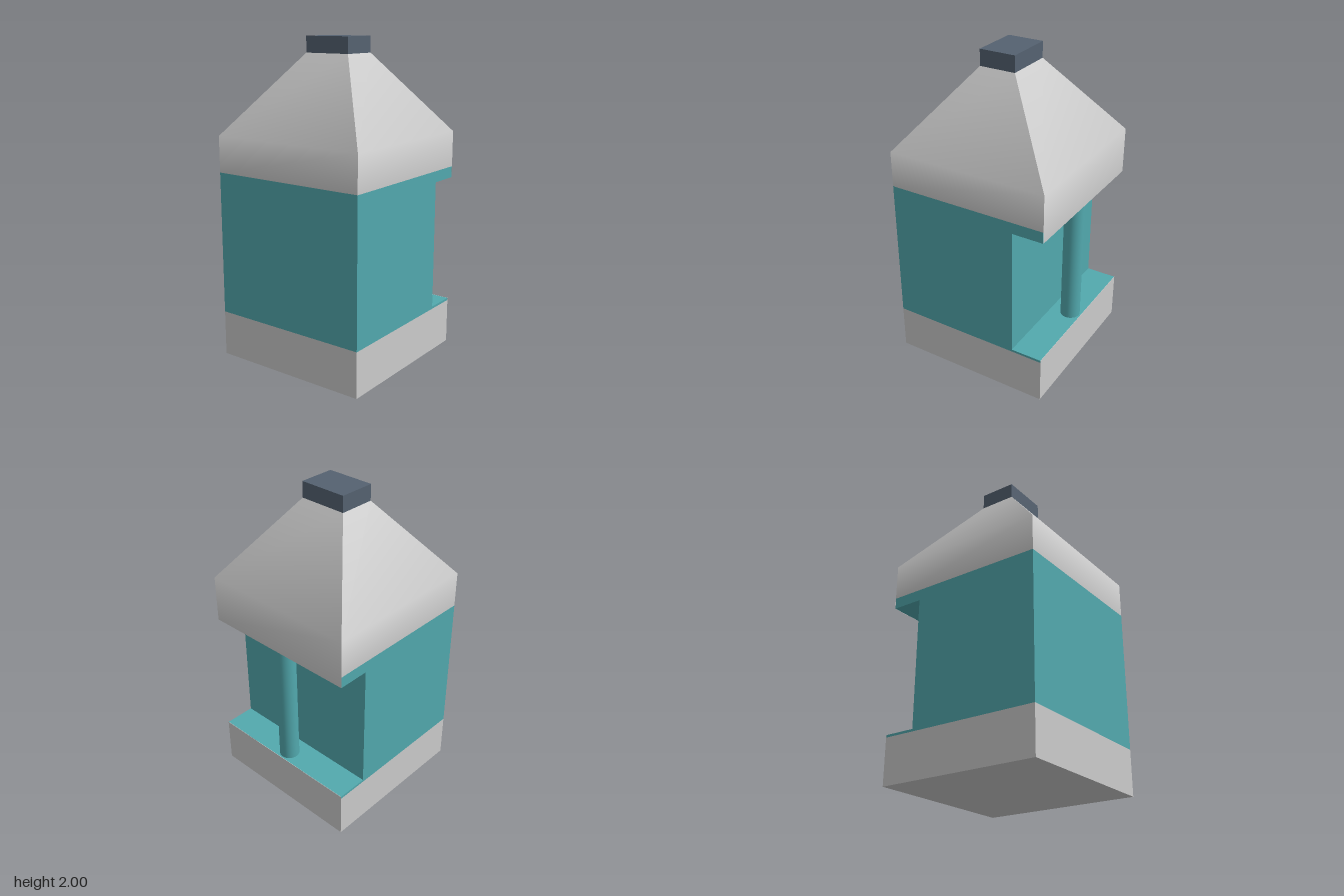
import * as THREE from 'three';

const HALF = 0.515;
const TOP = 1.185, BOTTOM = 0.285;             // limits of the coloured band on the sides
const RECESS_TOP = 1.115, RECESS_BOTTOM = 0.3; // opening at the back
const SKIN = 0.002;                            // thin grey facing on the back

const grey = new THREE.MeshStandardMaterial({ color: 0xcccccc });
const greyOpen = new THREE.MeshStandardMaterial({ color: 0xcccccc, side: THREE.DoubleSide });
const teal = new THREE.MeshStandardMaterial({ color: 0x52a9ae });
const slate = new THREE.MeshStandardMaterial({ color: 0x556271 });

function add(group, name, geometry, material, x = 0, y = 0, z = 0) {
  const mesh = new THREE.Mesh(geometry, material);
  mesh.name = name;
  mesh.position.set(x, y, z);
  group.add(mesh);
}

// One side of the shoulder: a smooth strip through three rows
function shoulderSide(left, right, lowY) {
  const rows = [[HALF, HALF, lowY], [HALF, HALF, 1.41], [0.155, 0.115, 1.9]];
  const positions = [], index = [];
  rows.forEach(([hx, hz, y], i) => {
    for (const [sx, sz] of [left, right]) positions.push(sx * hx, y, sz * hz);
    if (i < 2) {
      const a = i * 2;
      index.push(a, a + 1, a + 3, a, a + 3, a + 2);
    }
  });
  const geometry = new THREE.BufferGeometry();
  geometry.setAttribute('position', new THREE.Float32BufferAttribute(positions, 3));
  geometry.setIndex(index);
  geometry.computeVertexNormals();
  return geometry;
}

export function createModel() {
  const model = new THREE.Group();
  model.name = 'bottle';

  // Base, with its back face reaching up to the recess floor
  add(model, 'base', new THREE.BoxGeometry(2 * HALF, BOTTOM, 2 * HALF), grey, 0, BOTTOM / 2, 0);
  const lip = RECESS_BOTTOM - BOTTOM;
  add(model, 'baseLip', new THREE.BoxGeometry(2 * HALF, lip, SKIN), grey,
    0, BOTTOM + lip / 2, -HALF + SKIN / 2);

  // Coloured body: side profile with the back recess, extruded across the width
  const back = -HALF + SKIN, wall = -0.315;
  const profile = new THREE.Shape([
    [HALF, BOTTOM], [HALF, TOP], [back, TOP], [back, RECESS_TOP],
    [wall, RECESS_TOP], [wall, RECESS_BOTTOM], [back, RECESS_BOTTOM], [back, BOTTOM],
  ].map(([z, y]) => new THREE.Vector2(z, y)));
  const body = new THREE.ExtrudeGeometry(profile, { depth: 2 * HALF, bevelEnabled: false });
  body.rotateY(-Math.PI / 2).translate(HALF, 0, 0);
  add(model, 'body', body, teal);

  // Round handle post standing in the recess
  const postHeight = RECESS_TOP - RECESS_BOTTOM;
  add(model, 'handle', new THREE.CylinderGeometry(0.062, 0.062, postHeight, 32, 1, true), teal,
    0, RECESS_BOTTOM + postHeight / 2, -0.441);

  // Shoulder: four tapering sides, the back one reaching down to the recess
  const shoulder = new THREE.Group();
  shoulder.name = 'shoulder';
  const corners = [[-1, 1], [1, 1], [1, -1], [-1, -1]];
  ['front', 'left', 'back', 'right'].forEach((side, i) => {
    const low = side === 'back' ? RECESS_TOP : TOP;
    add(shoulder, side + 'Shoulder', shoulderSide(corners[i], corners[(i + 1) % 4], low), greyOpen);
  });
  model.add(shoulder);

  // Cap
  add(model, 'cap', new THREE.BoxGeometry(0.31, 0.1, 0.23), slate, 0, 1.95, 0);

  return model;
}
